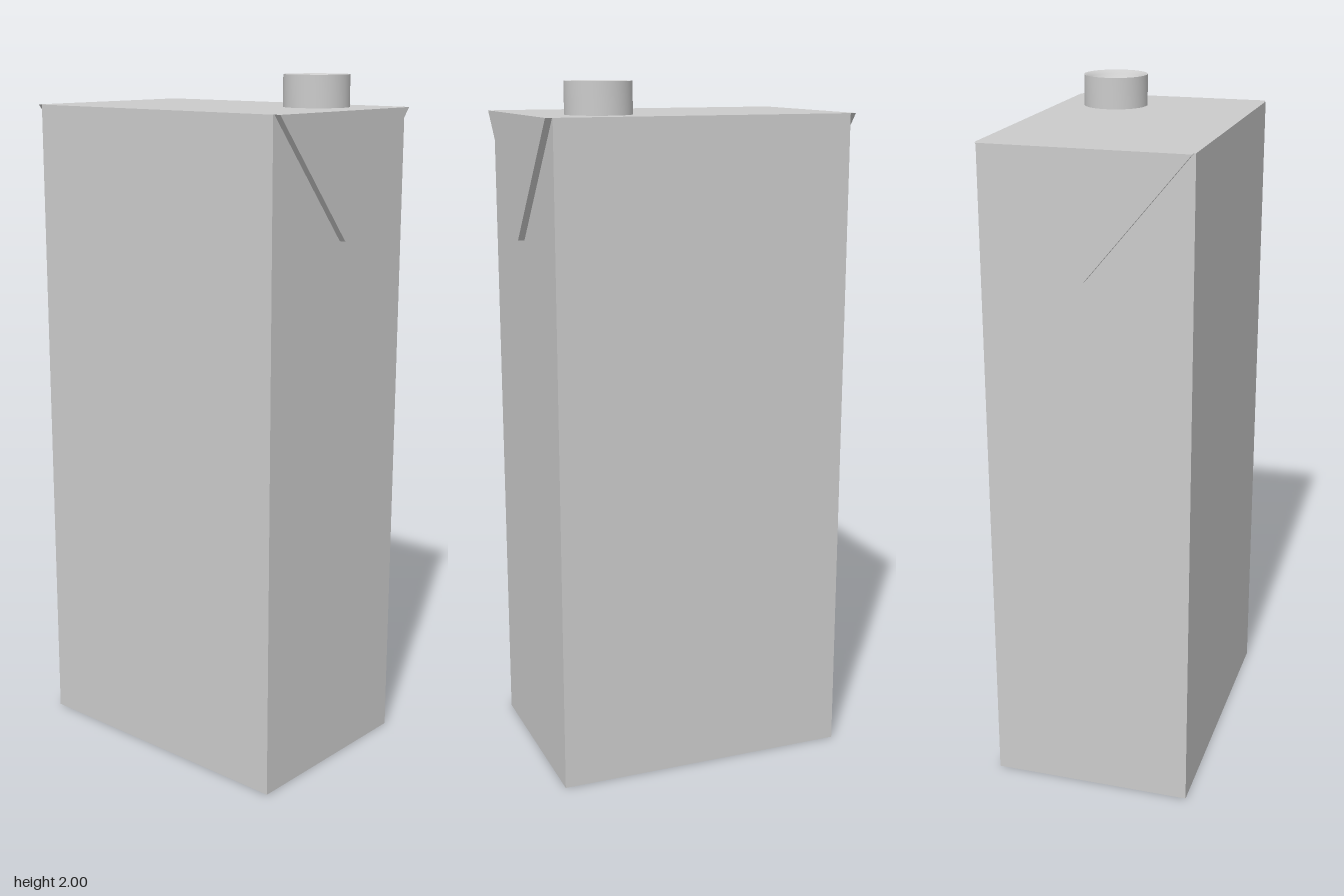
import * as THREE from 'three';
import { toCreasedNormals } from 'three/addons/utils/BufferGeometryUtils.js';

const WIDTH = 0.586, HEIGHT = 1.91, DEPTH = 0.87;
const FLAP_HALF = 0.288, FLAP_TIP = 1.56, FLAP_THICK = 0.019;

export function createModel() {
  const model = new THREE.Group();
  model.name = 'carton';
  const material = new THREE.MeshStandardMaterial({ color: 0xcccccc });

  const add = (name, geometry, x, y, z) => {
    const mesh = new THREE.Mesh(geometry, material);
    mesh.name = name;
    mesh.position.set(x, y, z);
    model.add(mesh);
    return mesh;
  };

  // Tall rectangular body
  add('body', new THREE.BoxGeometry(WIDTH, HEIGHT, DEPTH), 0, HEIGHT / 2, 0);

  // Triangular flaps folded down over the front and back
  const triangle = new THREE.Shape([
    new THREE.Vector2(-FLAP_HALF, HEIGHT),
    new THREE.Vector2(0, FLAP_TIP),
    new THREE.Vector2(FLAP_HALF, HEIGHT),
  ]);
  const flap = new THREE.ExtrudeGeometry(triangle, { depth: FLAP_THICK, bevelEnabled: false });
  add('frontFlap', flap, 0, 0, DEPTH / 2);
  add('backFlap', flap, 0, 0, -DEPTH / 2).rotation.y = Math.PI;

  // Round cap with a dished top
  const profile = [
    [0, 0], [0.094, 0], [0.094, 0.09], [0.087, 0.088],
    [0.079, 0.08], [0.07, 0.068], [0.055, 0.06], [0.03, 0.056], [0, 0.055],
  ].map(([r, y]) => new THREE.Vector2(r, y));
  const cap = toCreasedNormals(new THREE.LatheGeometry(profile, 48), 0.7);
  add('cap', cap, 0.123, HEIGHT, 0.252);

  return model;
}
